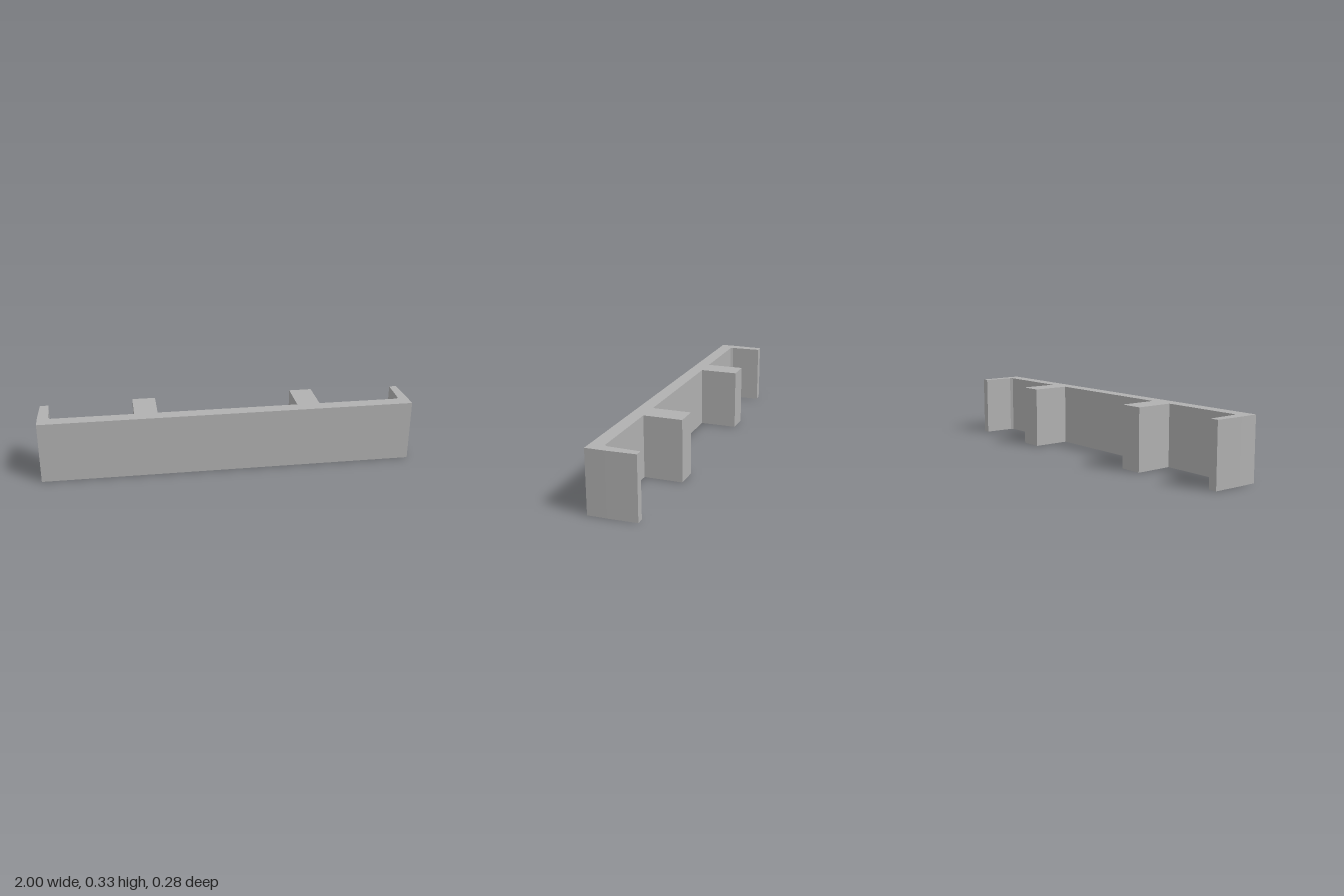
import * as THREE from 'three';

const HEIGHT = 0.328;
const FRONT = 0.138, INNER = 0.066, RIB_END = -0.138, ARM_END = -0.113;

// Extrude a plan outline of [x, z] points upward from y = 0
function extrudePlan(points) {
  const shape = new THREE.Shape(points.map(([x, z]) => new THREE.Vector2(x, -z)));
  const geometry = new THREE.ExtrudeGeometry(shape, { depth: HEIGHT, bevelEnabled: false });
  return geometry.rotateX(-Math.PI / 2);
}

export function createModel() {
  const group = new THREE.Group();
  group.name = 'ribbedBracket';
  const grey = new THREE.MeshStandardMaterial({ color: 0xb0b0b0 });
  grey.name = 'grey';

  // Plan of the front plate, two square ribs and two slightly tapered end arms
  const plan = [
    [-1, FRONT], [1, FRONT],
    // left end arm
    [1, 0.04], [0.994, ARM_END], [0.955, ARM_END], [0.948, 0.052], [0.938, INNER],
    // left rib
    [0.503, INNER], [0.503, RIB_END], [0.38, RIB_END], [0.38, INNER],
    // right rib
    [-0.374, INNER], [-0.374, RIB_END], [-0.498, RIB_END], [-0.498, INNER],
    // right end arm
    [-0.934, INNER], [-0.942, 0.052], [-0.949, ARM_END], [-0.994, ARM_END], [-1, 0.04],
  ];
  const body = new THREE.Mesh(extrudePlan(plan), grey);
  body.name = 'plateWithRibsAndArms';
  group.add(body);
  return group;
}
